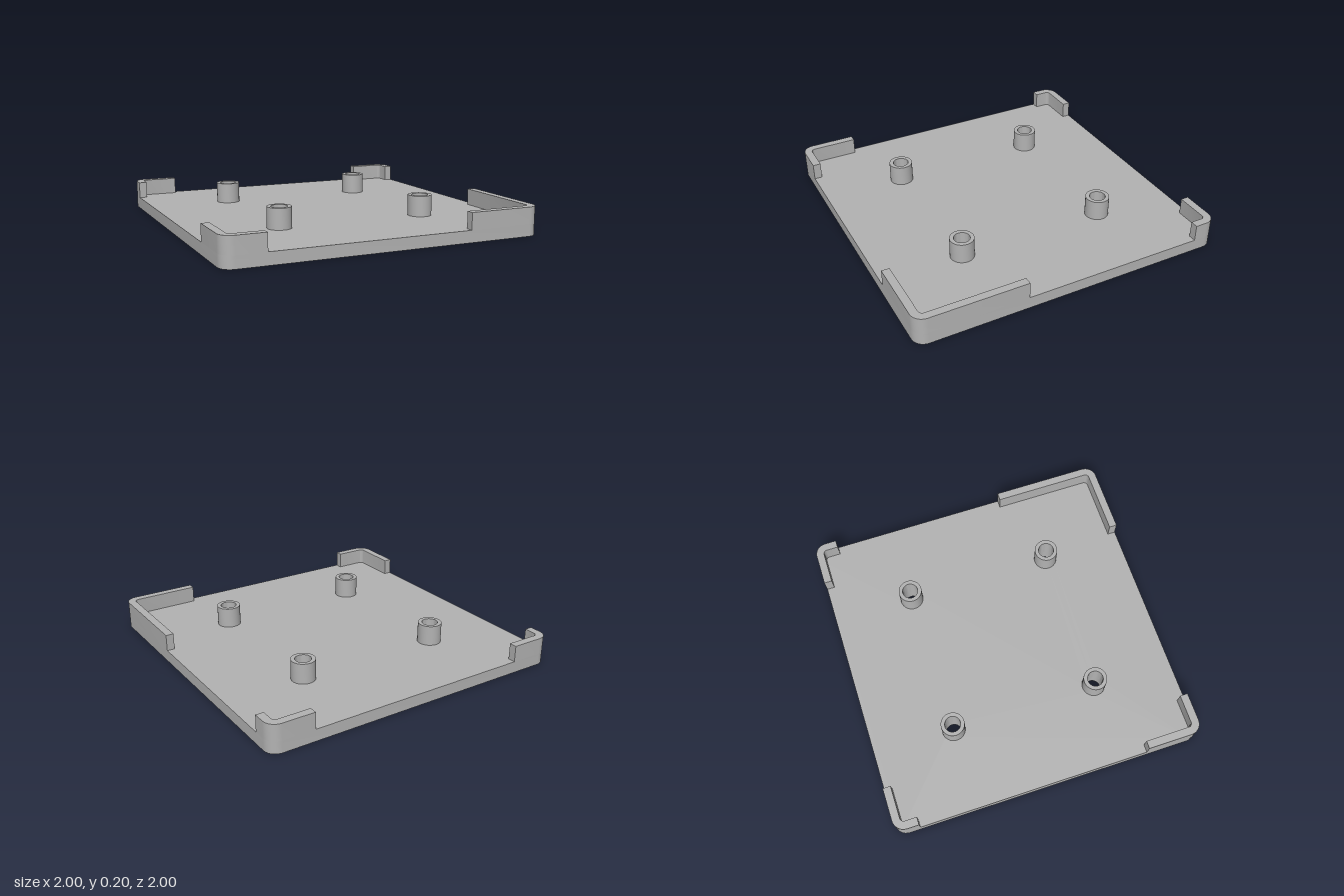
import * as THREE from 'three';
import { toCreasedNormals } from 'three/addons/utils/BufferGeometryUtils.js';

const BASE = 0.075, WALL_TOP = 0.18, POST_TOP = 0.205;
const RADIUS = 0.075, WALL = 0.05;
const POST = 0.475, POST_R = 0.075, HOLE_R = 0.05;
const SEGS = 8;

// Points of the rounded corner (sx, sz), running from the x side to the z side
function cornerArc(sx, sz, r) {
  const c = 1 - RADIUS, pts = [];
  for (let i = 0; i <= SEGS; i++) {
    const a = (i / SEGS) * Math.PI / 2;
    pts.push(new THREE.Vector2(sx * (c + r * Math.cos(a)), -sz * (c + r * Math.sin(a))));
  }
  return pts;
}

// Extrude a plan outline upwards from y0 to y1
function slab(shape, y0, y1) {
  const g = new THREE.ExtrudeGeometry(shape, { depth: y1 - y0, bevelEnabled: false, curveSegments: 20 });
  g.rotateX(-Math.PI / 2);
  g.translate(0, y0, 0);
  return toCreasedNormals(g, 0.6);
}

// L-shaped lip around one corner, ending at x = endX and z = endZ
function cornerWall(endX, endZ) {
  const sx = Math.sign(endX), sz = Math.sign(endZ);
  const inner = 1 - WALL;
  const pts = [
    new THREE.Vector2(sx, -endZ),
    ...cornerArc(sx, sz, RADIUS),
    new THREE.Vector2(endX, -sz),
    new THREE.Vector2(endX, -sz * inner),
    ...cornerArc(sx, sz, RADIUS - WALL).reverse(),
    new THREE.Vector2(sx * inner, -endZ),
  ];
  return slab(new THREE.Shape(pts), BASE, WALL_TOP);
}

export function createModel() {
  const group = new THREE.Group();
  const grey = new THREE.MeshStandardMaterial({ color: 0xb3b3b3 });
  grey.name = 'grey';
  const add = (name, geometry) => {
    const mesh = new THREE.Mesh(geometry, grey);
    mesh.name = name;
    group.add(mesh);
    return mesh;
  };

  // Rounded base plate with four through holes
  const plate = new THREE.Shape([
    ...cornerArc(1, -1, RADIUS),
    ...cornerArc(-1, -1, RADIUS).reverse(),
    ...cornerArc(-1, 1, RADIUS),
    ...cornerArc(1, 1, RADIUS).reverse(),
  ]);
  const spots = [[-1, -1], [1, -1], [-1, 1], [1, 1]].map(([x, z]) => [x * POST, z * POST]);
  for (const [x, z] of spots) {
    plate.holes.push(new THREE.Path().absarc(x, -z, HOLE_R, 0, Math.PI * 2, true));
  }
  add('basePlate', slab(plate, 0, BASE));

  // Hollow standoffs above the holes
  const profile = [[POST_R, BASE], [POST_R, POST_TOP], [HOLE_R, POST_TOP], [HOLE_R, BASE]]
    .map(([r, y]) => new THREE.Vector2(r, y));
  const post = toCreasedNormals(new THREE.LatheGeometry(profile, 40), 0.6);
  for (const [x, z] of spots) add('standoff', post).position.set(x, 0, z);

  // Corner lips of differing lengths
  add('backRightLip', cornerWall(-0.72, -0.85));
  add('backLeftLip', cornerWall(0.72, -0.85));
  add('frontRightLip', cornerWall(-0.745, 0.64));
  add('frontLeftLip', cornerWall(0.515, 0.305));

  return group;
}
